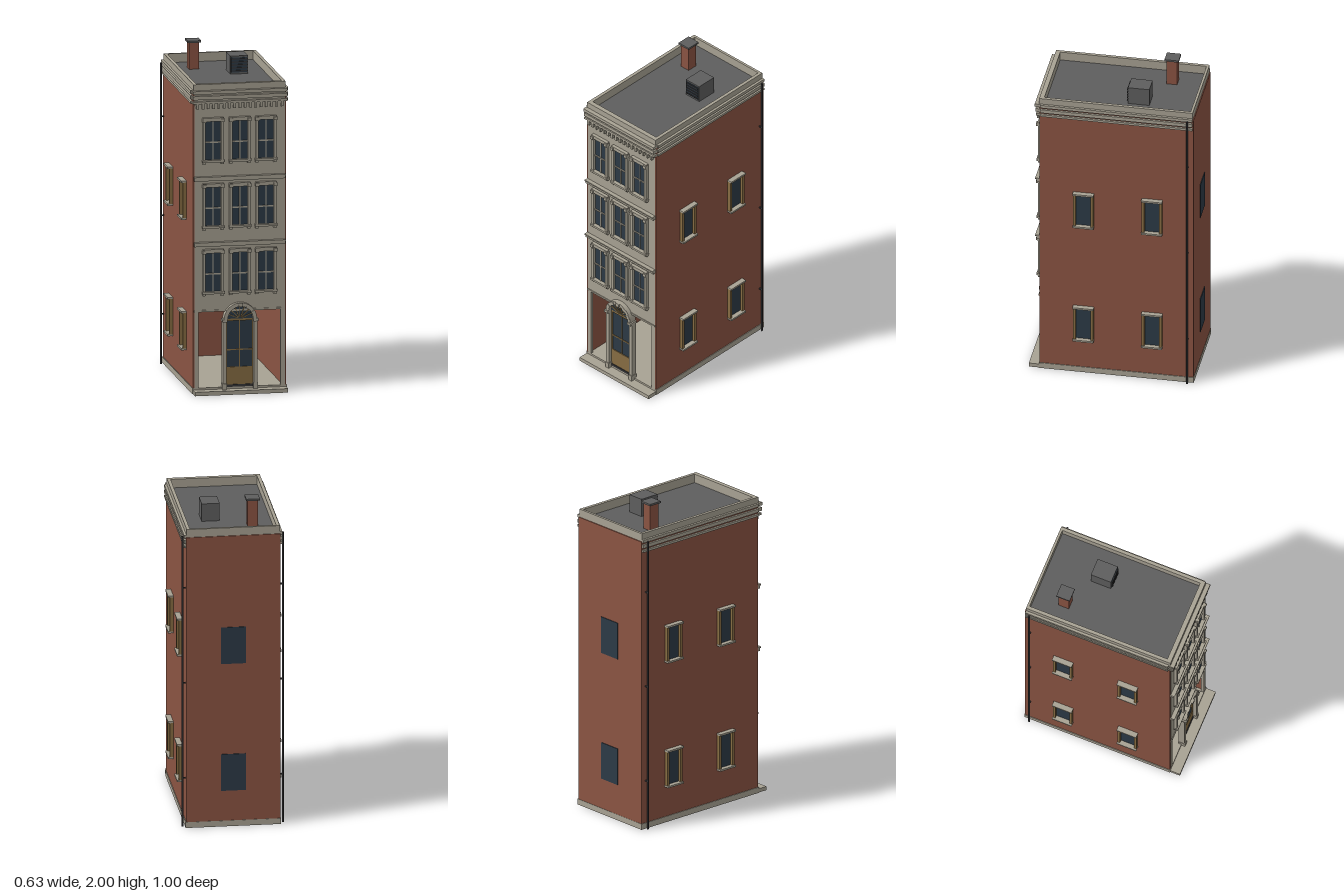
import * as THREE from 'three';

const mat = (name, hex, side = THREE.FrontSide) => {
  const m = new THREE.MeshStandardMaterial({ color: hex, side });
  m.name = name;
  return m;
};

export function createModel() {
  const stone = mat('stone', 0xa8a293);
  const brick = mat('brick', 0x8b5443);
  const roofGrey = mat('roof grey', 0x5e5e5e);
  const glass = mat('glass', 0x2c3a46);
  const wood = mat('tan wood', 0x876d43);
  const iron = mat('dark iron', 0x353537);

  const model = new THREE.Group();
  model.name = 'townhouse';

  const group = (name, parent = model) => {
    const g = new THREE.Group();
    g.name = name;
    parent.add(g);
    return g;
  };
  // Box given by its minimum and maximum on each axis
  const box = (name, m, x0, x1, y0, y1, z0, z1, parent = model) => {
    const mesh = new THREE.Mesh(new THREE.BoxGeometry(x1 - x0, y1 - y0, z1 - z0), m);
    mesh.position.set((x0 + x1) / 2, (y0 + y1) / 2, (z0 + z1) / 2);
    mesh.name = name;
    parent.add(mesh);
    return mesh;
  };

  // Base slab and front step
  box('baseSlab', stone, -0.286, 0.286, 0, 0.036, -0.498, 0.438);
  box('frontStep', stone, -0.282, 0.282, 0, 0.024, 0.438, 0.5);

  // Hollow brick shell, open at the ground-floor front
  const shell = group('brickShell');
  for (const s of [-1, 1]) {
    const a = s * 0.262, b = s * 0.282;
    box('sideWall', brick, Math.min(a, b), Math.max(a, b), 0.036, 1.83, -0.496, 0.435, shell);
  }
  box('backWall', brick, -0.262, 0.262, 0.036, 1.83, -0.496, -0.476, shell);

  // Roof and parapet
  box('roofDeck', roofGrey, -0.262, 0.262, 1.81, 1.826, -0.476, 0.415);
  const parapet = group('parapet');
  for (const s of [-1, 1]) {
    const a = s * 0.259, b = s * 0.279;
    box('parapetSide', stone, Math.min(a, b), Math.max(a, b), 1.826, 1.88, -0.49, 0.438, parapet);
  }
  box('parapetBack', stone, -0.259, 0.259, 1.826, 1.88, -0.49, -0.475, parapet);
  box('parapetFront', stone, -0.259, 0.259, 1.826, 1.88, 0.41, 0.438, parapet);

  // Cornice courses on the front and both sides
  const cornice = group('cornice');
  for (const [y0, y1, front] of [[1.764, 1.778, 0.456], [1.79, 1.812, 0.46], [1.824, 1.843, 0.464]]) {
    box('frontCourse', stone, -0.286, 0.286, y0, y1, 0.425, front, cornice);
    for (const s of [-1, 1]) {
      const a = s * 0.28, b = s * 0.295;
      box('sideCourse', stone, Math.min(a, b), Math.max(a, b), y0, y1, -0.49, 0.427, cornice);
    }
  }
  for (let i = 0; i < 17; i++) {
    const x = -0.256 + i * 0.032;
    box('dentil', stone, x - 0.007, x + 0.007, 1.732, 1.764, 0.435, 0.455, cornice);
  }
  box('dentilBacking', stone, -0.272, 0.272, 1.75, 1.764, 0.435, 0.445, cornice);

  // Stone facade, corner piers and floor courses
  const facade = group('facade');
  box('facadeWall', stone, -0.274, 0.274, 0.5, 1.83, 0.418, 0.438, facade);
  for (const y of [0.908, 1.306]) {
    box('floorCourse', stone, -0.276, 0.276, y - 0.012, y + 0.014, 0.435, 0.455, facade);
    box('floorCourseCap', stone, -0.277, 0.277, y + 0.006, y + 0.014, 0.435, 0.463, facade);
  }
  box('lowerCourse', stone, -0.275, 0.275, 0.497, 0.508, 0.43, 0.443, facade);
  for (const s of [-1, 1]) {
    const a = s * 0.248, b = s * 0.274;
    box('cornerPier', stone, Math.min(a, b), Math.max(a, b), 0.036, 0.5, 0.418, 0.438, facade);
  }

  // Front windows: three to each of three floors
  const frontWindow = (x, y) => {
    const w = group('frontWindow');
    w.position.set(x, y, 0.437);
    box('pane', glass, -0.048, 0.048, 0.02, 0.262, 0, 0.004, w);
    for (const s of [-1, 1]) {
      const cx = s * 0.055;
      box('jamb', stone, cx - 0.008, cx + 0.008, 0.02, 0.262, 0, 0.02, w);
      box('sillBracket', stone, cx - 0.009, cx + 0.009, -0.004, 0.01, 0, 0.018, w);
      box('lintelBlock', stone, cx - 0.011, cx + 0.011, 0.252, 0.272, 0, 0.03, w);
    }
    box('lintel', stone, -0.063, 0.063, 0.256, 0.278, 0, 0.022, w);
    box('sill', stone, -0.067, 0.067, 0.008, 0.021, 0, 0.028, w);
    box('mullion', stone, -0.003, 0.003, 0.02, 0.262, 0, 0.009, w);
    box('transom', stone, -0.048, 0.048, 0.124, 0.132, 0, 0.01, w);
  };
  for (const y of [0.6, 1.0, 1.4])
    for (const x of [-0.162, 0, 0.158]) frontWindow(x, y);

  // Side windows with tan reveals
  for (const s of [-1, 1])
    for (const z of [0.168, -0.247])
      for (const y of [0.225, 1.018]) {
        const w = group('sideWindow');
        w.position.set(s * 0.281, y, z);
        w.rotation.y = s * Math.PI / 2;
        box('pane', glass, -0.046, 0.046, 0.01, 0.226, 0, 0.004, w);
        for (const t of [-1, 1])
          box('jamb', wood, t * 0.053 - 0.008, t * 0.053 + 0.008, 0.01, 0.226, 0, 0.022, w);
        box('lintel', stone, -0.063, 0.063, 0.225, 0.236, 0, 0.033, w);
        box('sill', stone, -0.063, 0.063, 0, 0.011, 0, 0.033, w);
      }

  // Plain back windows
  for (const y of [0.225, 1.025])
    box('backWindow', glass, -0.074, 0.074, y, y + 0.23, -0.5, -0.494);

  // Front door with glazed upper part
  const door = group('frontDoor');
  box('doorPane', glass, -0.083, 0.083, 0.05, 0.445, 0.42, 0.43, door);
  box('threshold', iron, -0.083, 0.083, 0.036, 0.05, 0.42, 0.44, door);
  box('kickPanel', wood, -0.083, 0.083, 0.05, 0.156, 0.418, 0.435, door);
  box('doorMullion', wood, -0.003, 0.003, 0.15, 0.445, 0.42, 0.434, door);
  box('doorRail', wood, -0.083, 0.083, 0.257, 0.264, 0.42, 0.434, door);
  box('doorHead', wood, -0.083, 0.083, 0.437, 0.452, 0.418, 0.44, door);
  for (const s of [-1, 1]) {
    box('doorStile', wood, s * 0.08 - 0.004, s * 0.08 + 0.004, 0.05, 0.445, 0.42, 0.435, door);
    box('doorPillar', stone, s * 0.094 - 0.011, s * 0.094 + 0.011, 0.024, 0.445, 0.42, 0.457, door);
    box('pillarBase', stone, s * 0.094 - 0.014, s * 0.094 + 0.014, 0.024, 0.06, 0.42, 0.462, door);
    box('pillarCapital', stone, s * 0.094 - 0.015, s * 0.094 + 0.015, 0.435, 0.452, 0.42, 0.472, door);
  }

  // Fanlight and stone arch over the door
  const arch = group('doorArch');
  arch.position.set(0, 0.45, 0.42);
  const fan = new THREE.Shape();
  fan.absarc(0, 0, 0.083, 0, Math.PI);
  fan.closePath();
  const fanMesh = new THREE.Mesh(
    new THREE.ExtrudeGeometry(fan, { depth: 0.021, bevelEnabled: false, curveSegments: 20 }), glass);
  fanMesh.name = 'fanlight';
  arch.add(fanMesh);
  for (let i = 1; i < 8; i++) {
    const spoke = group('fanSpoke', arch);
    spoke.rotation.z = i * Math.PI / 8;
    box('spokeBar', wood, 0.012, 0.08, -0.0022, 0.0022, 0.018, 0.026, spoke);
  }
  const n = 11;
  for (let i = 0; i < n; i++) {
    const a0 = i * Math.PI / n, a1 = (i + 1) * Math.PI / n;
    const block = new THREE.Shape();
    block.absarc(0, 0, 0.1, a0, a1, false);
    block.absarc(0, 0, 0.077, a1, a0, true);
    block.closePath();
    const key = i === (n - 1) / 2;
    const mesh = new THREE.Mesh(
      new THREE.ExtrudeGeometry(block, {
        depth: key ? 0.055 : i % 2 ? 0.05 : 0.046, bevelEnabled: false, curveSegments: 3,
      }), stone);
    mesh.name = key ? 'keystone' : 'archBlock';
    arch.add(mesh);
  }

  // Drainpipes at the rear corners
  for (const s of [-1, 1]) {
    const pipe = new THREE.Mesh(new THREE.CylinderGeometry(0.006, 0.006, 1.83, 10), iron);
    pipe.position.set(s * 0.301, 0.915, -0.461);
    pipe.name = 'drainpipe';
    model.add(pipe);
    for (const y of [0.3, 0.9, 1.5])
      box('pipeClip', iron, s * 0.29 - 0.009, s * 0.29 + 0.009, y, y + 0.008, -0.465, -0.457);
  }

  // Chimney and roof vent
  box('chimneyStack', brick, -0.169, -0.108, 1.826, 1.988, -0.325, -0.26);
  box('chimneyCap', roofGrey, -0.18, -0.098, 1.988, 2, -0.336, -0.25);
  const vent = group('roofVent');
  box('ventBox', roofGrey, 0.044, 0.152, 1.826, 1.936, -0.205, -0.076, vent);
  box('ventOpening', glass, 0.05, 0.146, 1.836, 1.926, -0.077, -0.074, vent);
  for (let i = 0; i < 5; i++)
    box('ventLouvre', iron, 0.05, 0.146, 1.842 + i * 0.018, 1.849 + i * 0.018, -0.076, -0.069, vent);

  return model;
}
